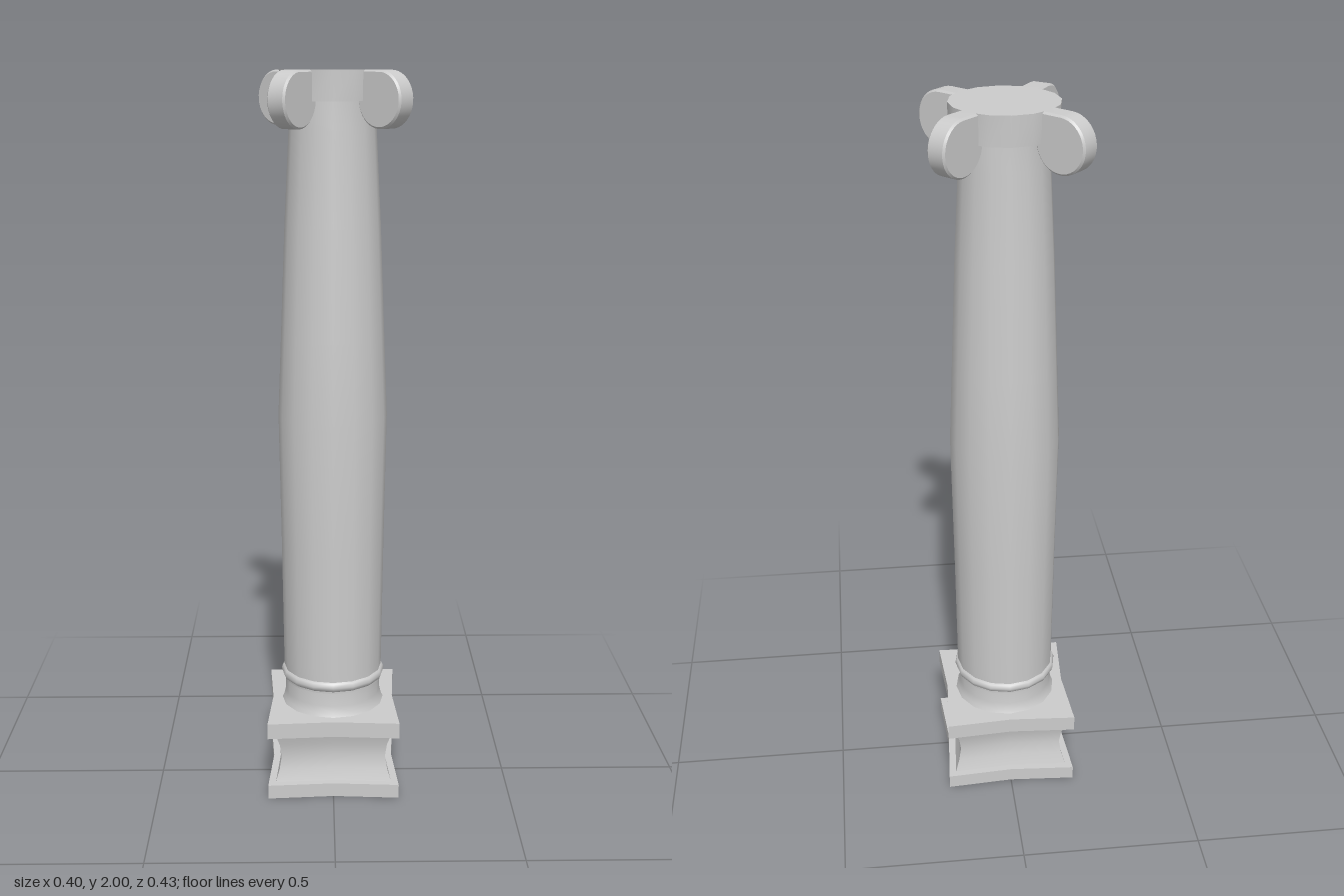
import * as THREE from 'three';
import { toCreasedNormals } from 'three/addons/utils/BufferGeometryUtils.js';

const SIDES = 16;
const material = new THREE.MeshStandardMaterial({ color: 0xcccccc });
const openMaterial = new THREE.MeshStandardMaterial({ color: 0xcccccc, side: THREE.DoubleSide });

function addMesh(parent, name, geometry, mat = material) {
  const mesh = new THREE.Mesh(geometry, mat);
  mesh.name = name;
  parent.add(mesh);
  return mesh;
}

// Square plan with slightly pinched sides: corner, mid-side, corner, ...
function squareRing(half, y) {
  const mid = half * 0.935;
  return [[1, 1], [1, 0], [1, -1], [0, -1], [-1, -1], [-1, 0], [-1, 1], [0, 1]].map(([x, z]) => {
    const r = x && z ? half : mid;
    return [x * r, y, z * r];
  });
}

// Skin a stack of [half width, height] rings, closing the top with a fan
function loftSquare(profile) {
  const rings = profile.map(([half, y]) => squareRing(half, y));
  const pos = [];
  const n = 8;
  for (let i = 0; i < rings.length - 1; i++) {
    for (let j = 0; j < n; j++) {
      const k = (j + 1) % n;
      const a = rings[i][j], b = rings[i][k], c = rings[i + 1][k], d = rings[i + 1][j];
      pos.push(...a, ...b, ...c, ...a, ...c, ...d);
    }
  }
  const top = rings[rings.length - 1];
  for (let j = 0; j < n; j++) pos.push(...top[j], ...top[(j + 1) % n], 0, top[0][1], 0);
  const g = new THREE.BufferGeometry();
  g.setAttribute('position', new THREE.Float32BufferAttribute(pos, 3));
  g.computeVertexNormals();
  return toCreasedNormals(g, 0.45);
}

function lathe(points) {
  const g = new THREE.LatheGeometry(points.map(([r, y]) => new THREE.Vector2(r, y)), SIDES);
  return toCreasedNormals(g, 0.6);
}

// Teardrop volute, flat on top and rounded at the outer end
function voluteGeometry() {
  const bevel = 0.005, width = 0.054;
  const cu = 0.187, cy = 1.9275, r = 0.0725 - bevel;
  const s = new THREE.Shape();
  s.moveTo(0.1, 2 - bevel);
  s.lineTo(0.1, 1.945);
  s.lineTo(0.122, 1.935);
  s.absarc(cu, cy, r, Math.PI * 1.03, Math.PI * 2.5, false);
  s.closePath();
  const g = new THREE.ExtrudeGeometry(s, {
    depth: width - 2 * bevel, bevelEnabled: true, bevelSize: bevel,
    bevelThickness: bevel, bevelSegments: 1, curveSegments: 14,
  });
  g.translate(0, 0, -width / 2 + bevel);
  return toCreasedNormals(g, 0.6);
}

export function createModel() {
  const model = new THREE.Group();
  model.name = 'column';
  const body = new THREE.Group();
  body.name = 'columnBody';
  body.position.z = -0.015;
  model.add(body);

  // Hollow pedestal: two slabs joined by a concave waist, open underneath
  addMesh(body, 'pedestal', loftSquare([
    [0.185, 0], [0.185, 0.04], [0.164, 0.04],
    [0.153, 0.075], [0.147, 0.112], [0.152, 0.15], [0.163, 0.185],
    [0.185, 0.185], [0.185, 0.23],
  ]), openMaterial);

  // Flared foot below the collar ring
  addMesh(body, 'shaftFoot', lathe([
    [0.147, 0.228], [0.141, 0.24], [0.136, 0.26], [0.135, 0.31],
  ]), openMaterial);

  // Rounded collar
  const collar = addMesh(body, 'collar', new THREE.TorusGeometry(0.13, 0.018, 10, SIDES));
  collar.rotation.set(Math.PI / 2, 0, 0);
  collar.position.y = 0.32;

  // Swelling shaft that tapers to the capital
  addMesh(body, 'shaft', lathe([
    [0.139, 0.3], [0.14, 0.36], [0.144, 0.7], [0.15, 1.08],
    [0.141, 1.3], [0.129, 1.6], [0.116, 1.85], [0.114, 1.93],
  ]), openMaterial);

  // Capital drum
  const drum = addMesh(body, 'capitalDrum',
    toCreasedNormals(new THREE.CylinderGeometry(0.14, 0.138, 0.077, SIDES), 0.6));
  drum.position.y = 1.9615;

  // Corner volutes; the front right one sits slightly askew
  const volute = voluteGeometry();
  const angles = { frontLeft: 45, frontRight: 124, backRight: 225, backLeft: 315 };
  for (const [corner, degrees] of Object.entries(angles)) {
    const mesh = addMesh(body, `${corner}Volute`, volute);
    mesh.rotation.y = -THREE.MathUtils.degToRad(degrees);
  }
  return model;
}
